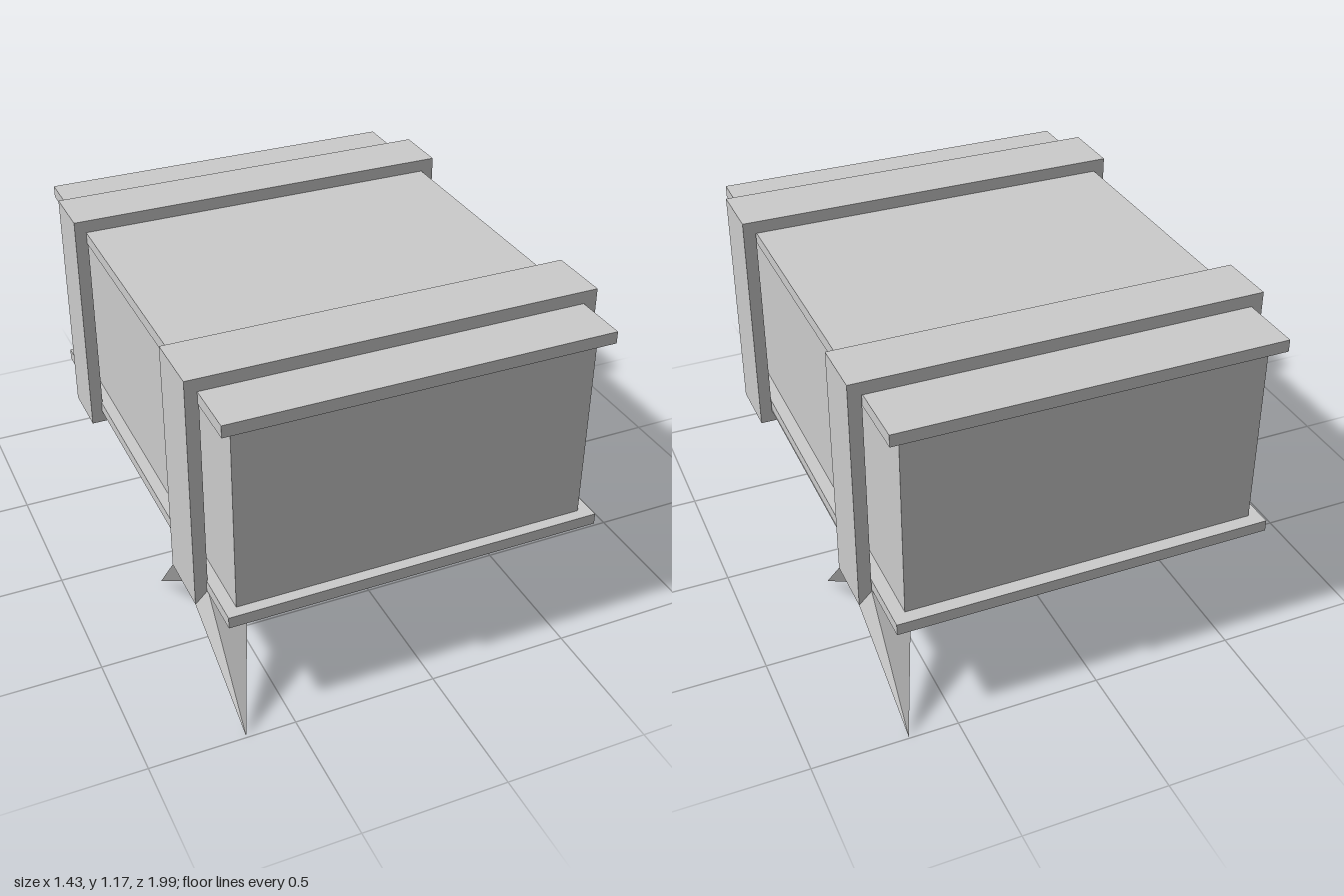
import * as THREE from 'three';
import { ConvexGeometry } from 'three/addons/geometries/ConvexGeometry.js';

const material = new THREE.MeshStandardMaterial({ color: 0xcccccc, flatShading: true });

function add(group, name, geometry) {
  const mesh = new THREE.Mesh(geometry, material);
  mesh.name = name;
  group.add(mesh);
  return mesh;
}

// Box given by its limits on each axis
function box(group, name, [x0, x1], [y0, y1], [z0, z1]) {
  const mesh = add(group, name, new THREE.BoxGeometry(x1 - x0, y1 - y0, z1 - z0));
  mesh.position.set((x0 + x1) / 2, (y0 + y1) / 2, (z0 + z1) / 2);
}

// Rectangular outline, used for the strap and its opening
function rectangle(path, x, y0, y1) {
  path.moveTo(-x, y0);
  path.lineTo(x, y0);
  path.lineTo(x, y1);
  path.lineTo(-x, y1);
  path.closePath();
  return path;
}

function hull(points) {
  return new ConvexGeometry(points.map((p) => new THREE.Vector3(...p)));
}

export function createModel() {
  const model = new THREE.Group();
  model.name = 'chest';

  // Body between two overhanging plates
  box(model, 'body', [-0.633, 0.622], [0.4, 1.085], [-0.862, 0.842]);
  box(model, 'basePlate', [-0.674, 0.667], [0.365, 0.406], [-0.91, 0.882]);
  box(model, 'lidPlate', [-0.674, 0.667], [1.082, 1.125], [-0.91, 0.882]);

  // Straps running round the chest as open frames
  const straps = [
    { name: 'frontStrap', z0: 0.458, z1: 0.682 },
    { name: 'backStrap', z0: -0.682, z1: -0.477 },
  ];
  for (const { name, z0, z1 } of straps) {
    const shape = rectangle(new THREE.Shape(), 0.715, 0.32, 1.17);
    shape.holes.push(rectangle(new THREE.Path(), 0.67, 0.365, 1.125));
    const geometry = new THREE.ExtrudeGeometry(shape, { depth: z1 - z0, bevelEnabled: false });
    add(model, name, geometry).position.z = z0;
  }

  // Underside panel with sloped edges, between the straps
  const panel = [];
  for (const z of [-0.477, 0.458]) {
    for (const s of [-1, 1]) panel.push([s * 0.535, 0.32, z], [s * 0.67, 0.365, z]);
  }
  add(model, 'undersidePanel', hull(panel));

  // Two legs on opposite corners, each with a pair of splayed spikes
  const legs = [
    { name: 'frontRightLeg', side: -1, middle: 0.573, edges: [[0.682, 0.995], [0.458, 0.15]] },
    { name: 'backLeftLeg', side: 1, middle: -0.578, edges: [[-0.682, -0.995], [-0.477, -0.16]] },
  ];
  for (const { name, side, middle, edges } of legs) {
    const leg = new THREE.Group();
    leg.name = name;
    for (const [edge, tip] of edges) {
      add(leg, 'spike', hull([
        [side * 0.67, 0, tip],
        [side * 0.67, 0.365, edge],
        [side * 0.715, 0.32, edge],
        [side * 0.535, 0.32, edge],
        [side * 0.67, 0.32, middle],
      ]));
    }
    model.add(leg);
  }

  return model;
}
